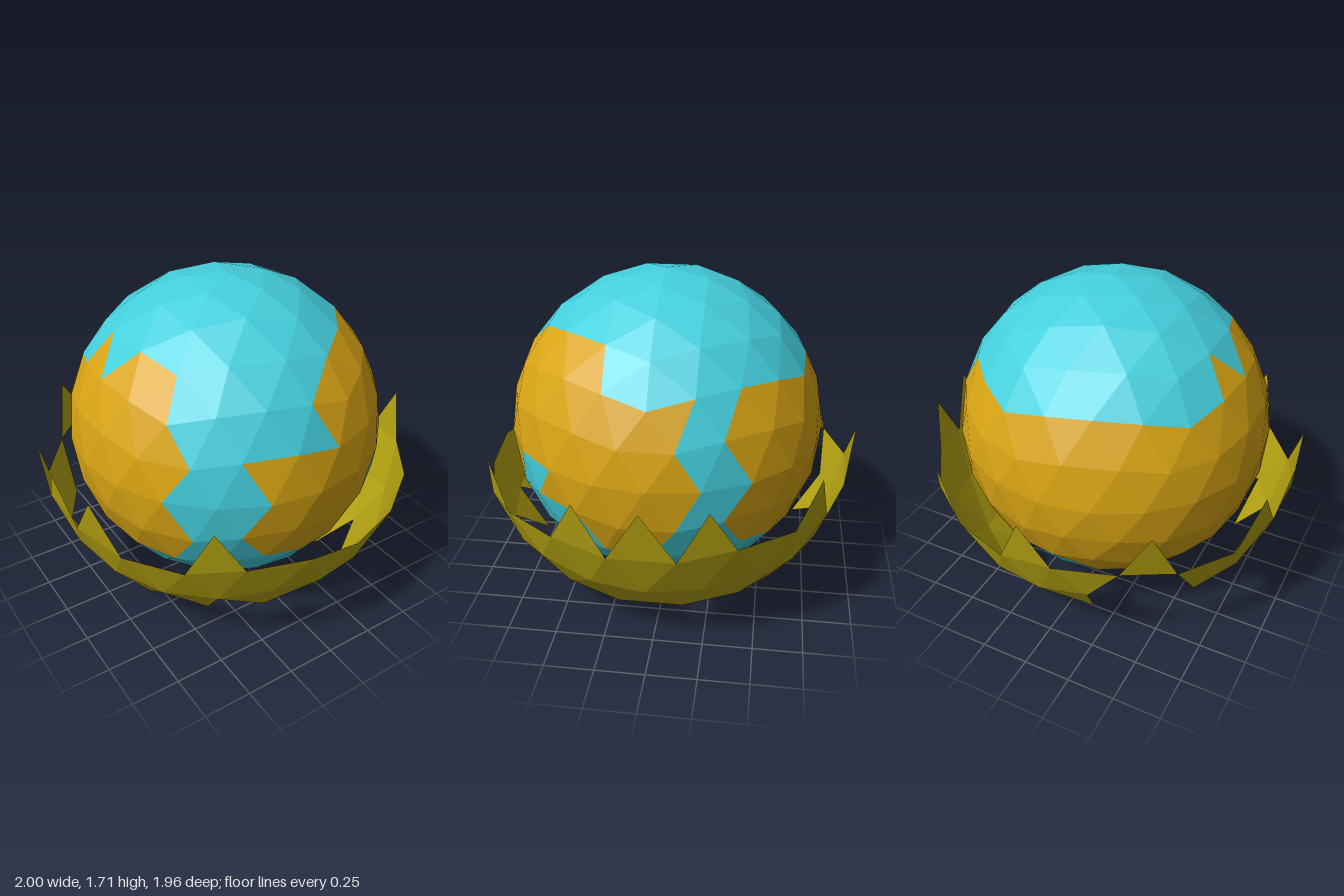
import * as THREE from 'three';

const RAD = Math.PI / 180;
const CENTRE = new THREE.Vector3(0, 0.894, 0.02);

// Unit icosphere with a vertex at each pole, split twice: 320 triangles
function icosphereFaces() {
  const ring = (y, start) => Array.from({ length: 5 }, (_, k) => {
    const a = (start + 72 * k) * RAD;
    return new THREE.Vector3(Math.cos(a) * 2, y, Math.sin(a) * 2).normalize();
  });
  const top = new THREE.Vector3(0, 1, 0), bottom = new THREE.Vector3(0, -1, 0);
  const U = ring(1, 0), L = ring(-1, 36);
  let faces = [];
  for (let k = 0; k < 5; k++) {
    const n = (k + 1) % 5;
    faces.push([top, U[n], U[k]], [U[k], U[n], L[k]], [U[n], L[n], L[k]], [bottom, L[k], L[n]]);
  }
  const mid = (p, q) => p.clone().add(q).normalize();
  for (let i = 0; i < 2; i++) {
    faces = faces.flatMap(([a, b, c]) => {
      const ab = mid(a, b), bc = mid(b, c), ca = mid(c, a);
      return [[a, ab, ca], [ab, b, bc], [ca, bc, c], [ab, bc, ca]];
    });
  }
  return faces;
}

// Horizontal band (0 at the bottom, 11 at the top) and heading of a triangle
const LEVELS = [-0.98, -0.9, -0.8, -0.6, -0.35, -0.13, 0.13, 0.35, 0.6, 0.8, 0.9, 0.98];
const bandOf = (f) => Math.min(...f.map((v) => LEVELS.filter((t) => v.y > t).length));
const headingOf = ([a, b, c]) => Math.atan2(a.z + b.z + c.z, a.x + b.x + c.x) / RAD;

// True if the triangle lies in one of its band's [from, to] heading ranges (degrees)
function inPatch(face, patch) {
  const h = headingOf(face);
  return (patch[bandOf(face)] || []).some(([from, to]) => (((h - from) % 360) + 360) % 360 <= to - from);
}

const ALL = [[-180, 180]];

// Blue patches on the ball, band by band from the bottom
const BLUE = [
  ALL,
  ALL,
  [[-139, 211]],
  [[-98, 200]],
  [[-31, -5], [22, 67], [113, 139]],
  [[-31, -14], [41, 58], [113, 139]],
  [[-31, -14], [113, 139]],
  [[-31, -14], [86, 139]],
  [[-164, 20], [82, 145], [175, 187]],
  ALL,
  ALL,
  ALL,
];

// Broken outer shell: jagged hanging shards, a solid belt and upright spikes
const SPIKES = [0, 18, 54, 126, 162, 180, -162, -126, -90, -54, -18];
const SHELL = {
  2: [[-50, -23], [-4, 4], [23, 33]],
  3: [[-66, 66], [79, 87], [99, 118], [129, 137], [151, 159], [170, 190], [254, 262], [273, 281]],
  4: [[-113, 221]],
  5: SPIKES.map((a) => [a - 3, a + 3]),
};

function makeMesh(name, faces, radius, color, side = THREE.FrontSide) {
  const points = [];
  for (const [a, b, c] of faces) {
    // Keep every triangle facing outwards
    const out = b.clone().sub(a).cross(c.clone().sub(a)).dot(a) > 0;
    for (const v of out ? [a, b, c] : [a, c, b]) points.push(v.clone().multiplyScalar(radius).add(CENTRE));
  }
  const geometry = new THREE.BufferGeometry().setFromPoints(points);
  geometry.computeVertexNormals();
  const mesh = new THREE.Mesh(geometry, new THREE.MeshStandardMaterial({ color, flatShading: true, side }));
  mesh.name = name;
  return mesh;
}

export function createModel() {
  const group = new THREE.Group();
  group.name = 'shelledBall';
  const faces = icosphereFaces();

  // Inner ball in two colours
  const ball = new THREE.Group();
  ball.name = 'ball';
  ball.add(
    makeMesh('bluePatches', faces.filter((f) => inPatch(f, BLUE)), 0.82, 0x44cfdd),
    makeMesh('orangePatches', faces.filter((f) => !inPatch(f, BLUE)), 0.82, 0xd9a514),
  );

  // Thin jagged shell around the lower half
  const shell = makeMesh('brokenShell', faces.filter((f) => inPatch(f, SHELL)), 1, 0xb5a312, THREE.DoubleSide);

  group.add(ball, shell);
  return group;
}
